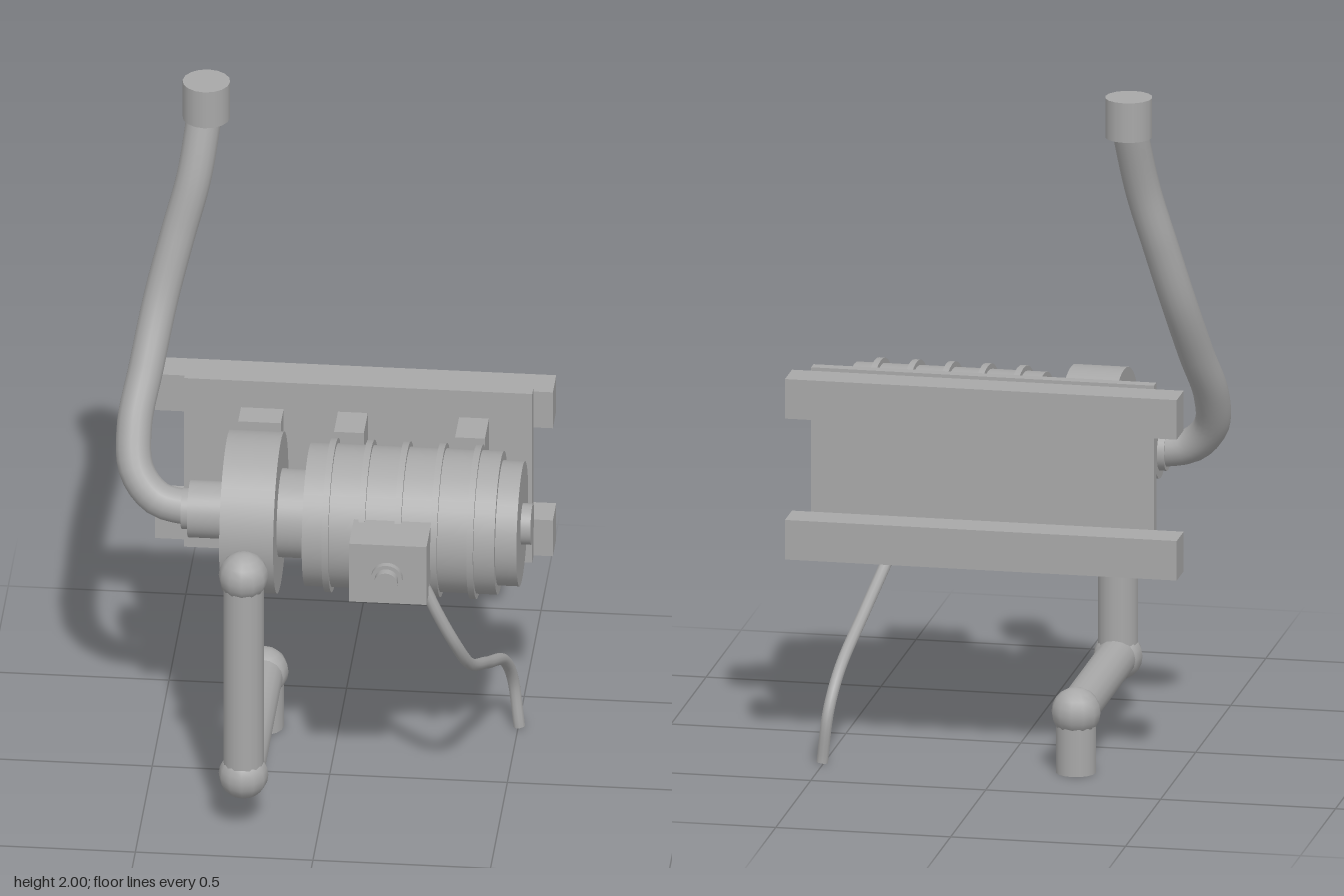
import * as THREE from 'three';

export function createModel() {
  const model = new THREE.Group();
  model.name = 'wallMountedPump';
  const grey = new THREE.MeshStandardMaterial({ color: 0xa8a8a8 });
  grey.name = 'grey';

  const add = (name, geometry, x = 0, y = 0, z = 0) => {
    const mesh = new THREE.Mesh(geometry, grey);
    mesh.name = name;
    mesh.position.set(x, y, z);
    model.add(mesh);
    return mesh;
  };
  // Box given by its limits along each axis
  const box = (name, x0, x1, y0, y1, z0, z1) =>
    add(name, new THREE.BoxGeometry(x1 - x0, y1 - y0, z1 - z0),
      (x0 + x1) / 2, (y0 + y1) / 2, (z0 + z1) / 2);
  // Cylinder between two points
  const rod = (name, a, b, r, sides = 24) => {
    const p = new THREE.Vector3(...a), q = new THREE.Vector3(...b);
    const dir = q.clone().sub(p), mid = p.clone().add(q).multiplyScalar(0.5);
    const mesh = add(name, new THREE.CylinderGeometry(r, r, dir.length(), sides), mid.x, mid.y, mid.z);
    mesh.quaternion.setFromUnitVectors(new THREE.Vector3(0, 1, 0), dir.normalize());
    return mesh;
  };
  const tube = (name, points, r, sides) => {
    const curve = new THREE.CatmullRomCurve3(points.map(p => new THREE.Vector3(...p)));
    return add(name, new THREE.TubeGeometry(curve, 48, r, sides));
  };

  // Wall plate, rails and motor brackets
  box('wallPlate', -0.43, 0.55, 0.59, 1.13, -0.245, -0.212);
  box('lowerRail', -0.515, 0.605, 0.595, 0.71, -0.345, -0.245);
  box('upperRail', -0.515, 0.605, 1.005, 1.12, -0.345, -0.245);
  box('pumpBracket', -0.27, -0.15, 0.67, 1.045, -0.213, -0.13);
  for (const x of [0.003, 0.344]) box('motorBracket', x, x + 0.084, 0.67, 1.045, -0.213, -0.095);

  // Motor and pump cylinders along one axis
  const axisY = 0.86, axisZ = 0.052;
  const drum = (name, x0, x1, r) => rod(name, [x0, axisY, axisZ], [x1, axisY, axisZ], r, 40);
  drum('inletCollar', -0.41, -0.385, 0.058);
  drum('inletFlange', -0.39, -0.285, 0.081);
  drum('pumpHousing', -0.285, -0.133, 0.228);
  drum('couplingNeck', -0.133, -0.055, 0.125);
  drum('motorBody', -0.055, 0.487, 0.202);
  drum('motorEndCap', 0.487, 0.547, 0.176);
  drum('shaftEnd', 0.547, 0.575, 0.058);
  for (let i = 0; i < 5; i++) {
    const x = 0.011 + i * 0.102;
    drum('coolingRing', x - 0.009, x + 0.009, 0.217);
  }

  // Terminal box with knob
  box('terminalBox', 0.09, 0.308, 0.765, 0.95, 0.2, 0.375);
  rod('knobStem', [0.198, 0.857, 0.37], [0.198, 0.857, 0.39], 0.02);
  rod('knobBase', [0.198, 0.857, 0.387], [0.198, 0.857, 0.405], 0.044);
  rod('knobTip', [0.198, 0.857, 0.405], [0.198, 0.857, 0.43], 0.033);

  // Angular drain pipe with ball joints
  const corners = [[-0.211, 0.81, 0.335], [-0.211, 0.175, 0.335], [-0.211, 0.175, -0.265], [-0.211, 0, -0.265]];
  corners.slice(0, 3).forEach((c, i) => {
    rod('drainPipe', c, corners[i + 1], 0.057, 16);
    add('pipeJoint', new THREE.SphereGeometry(0.07, 12, 10), ...c);
  });

  // Curved riser pipe with end cap
  tube('riserPipe', [
    [-0.38, 0.86, 0.052], [-0.48, 0.882, 0.043], [-0.542, 0.95, 0.012], [-0.555, 1.06, -0.052],
    [-0.53, 1.2, -0.14], [-0.498, 1.37, -0.228], [-0.455, 1.55, -0.28], [-0.412, 1.72, -0.315],
    [-0.385, 1.91, -0.37],
  ], 0.05, 16);
  rod('riserCap', [-0.382, 1.885, -0.365], [-0.382, 2, -0.365], 0.067, 16);

  // Power cable
  tube('cable', [
    [0.295, 0.785, 0.305], [0.335, 0.69, 0.298], [0.38, 0.58, 0.265], [0.41, 0.48, 0.185],
    [0.44, 0.37, -0.02], [0.47, 0.25, -0.25], [0.486, 0.15, -0.322], [0.503, 0.005, -0.322],
  ], 0.017, 10);
  add('cableEnd', new THREE.CircleGeometry(0.017, 10), 0.503, 0.005, -0.322).rotation.x = Math.PI / 2;

  return model;
}
